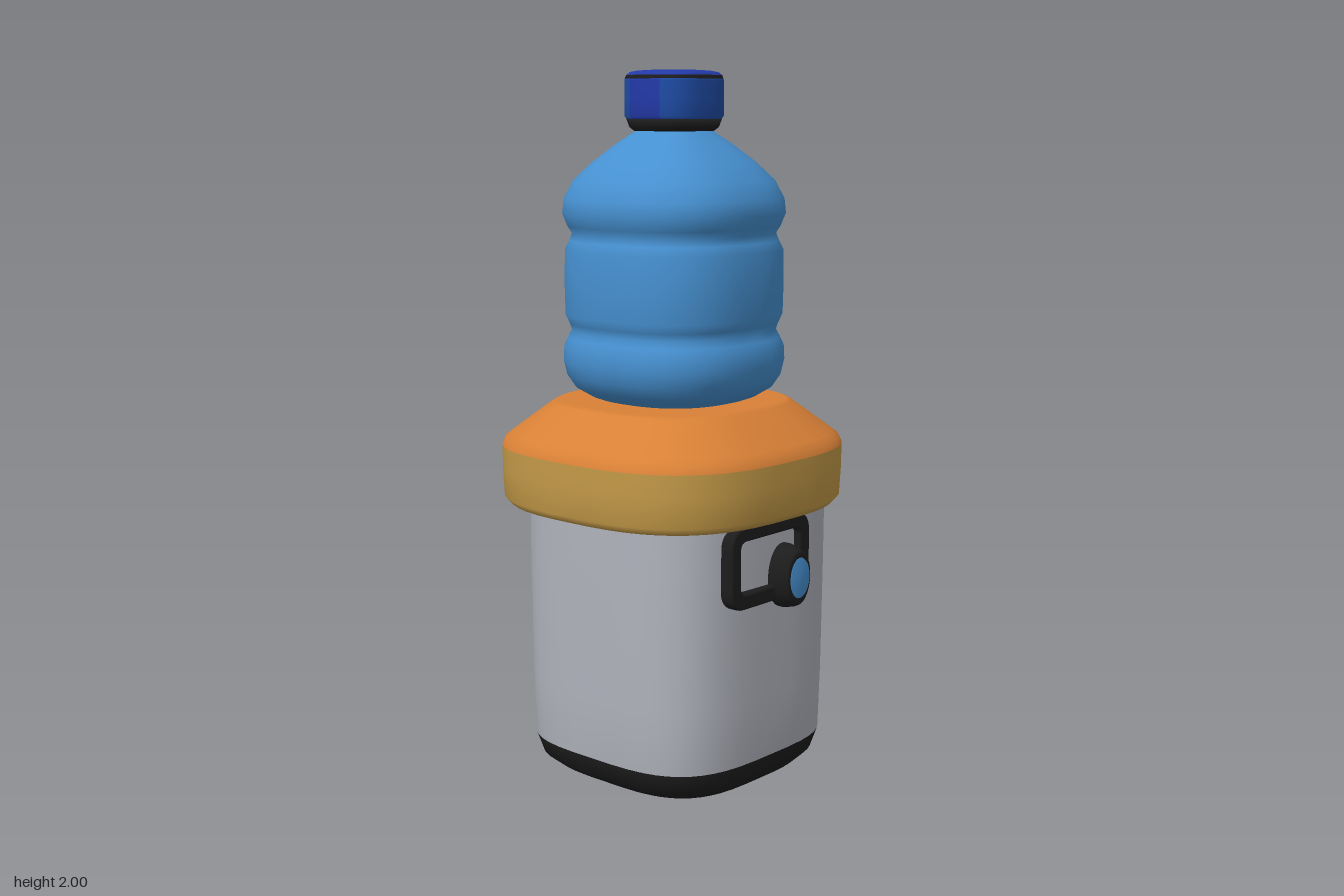
import * as THREE from 'three';

const mat = (name, color) => {
  const m = new THREE.MeshStandardMaterial({ color });
  m.name = name;
  return m;
};

// Loft of rounded-square rings, bottom to top. Row: [y, halfX, halfZ]; a repeated row makes a crease.
// pick(x, y, z) returns the material index for the face centred there.
function loft(name, rows, { n = 3, cx = 0, cz = 0, seg = 48, mats, pick = () => 0 }) {
  const pos = [], lists = mats.map(() => []);
  const pw = (v) => Math.sign(v) * Math.abs(v) ** (2 / n);
  for (const [y, hx, hz = hx] of rows) {
    for (let i = 0; i < seg; i++) {
      const a = ((i + 0.5) / seg) * Math.PI * 2;
      pos.push(cx + hx * pw(Math.cos(a)), y, cz + hz * pw(Math.sin(a)));
    }
  }
  for (let r = 0; r < rows.length - 1; r++) {
    for (let i = 0; i < seg; i++) {
      const a = r * seg + i, b = r * seg + ((i + 1) % seg), c = a + seg, d = b + seg;
      const mid = [0, 1, 2].map((k) => (pos[a * 3 + k] + pos[b * 3 + k] + pos[c * 3 + k] + pos[d * 3 + k]) / 4);
      lists[pick(...mid)].push(a, c, b, b, c, d);
    }
  }
  const g = new THREE.BufferGeometry();
  g.setAttribute('position', new THREE.Float32BufferAttribute(pos, 3));
  g.setIndex(lists.flat());
  let start = 0;
  lists.forEach((l, i) => {
    g.addGroup(start, l.length, i);
    start += l.length;
  });
  g.computeVertexNormals();
  const mesh = new THREE.Mesh(g, mats);
  mesh.name = name;
  return mesh;
}

// Rounded rectangle outline added to a Shape or Path
function roundRect(p, x0, y0, x1, y1, r) {
  p.moveTo(x0 + r, y0);
  p.lineTo(x1 - r, y0).quadraticCurveTo(x1, y0, x1, y0 + r);
  p.lineTo(x1, y1 - r).quadraticCurveTo(x1, y1, x1 - r, y1);
  p.lineTo(x0 + r, y1).quadraticCurveTo(x0, y1, x0, y1 - r);
  p.lineTo(x0, y0 + r).quadraticCurveTo(x0, y0, x0 + r, y0);
  return p;
}

export function createModel() {
  const grey = mat('grey', 0xb0b3bc);
  const black = mat('black', 0x1c1c1c);
  const gold = mat('gold', 0xc49a48);
  const orange = mat('orange', 0xd88036);
  const blue = mat('blue', 0x4690d0);
  const capSide = mat('capBlue', 0x1f4ca6);
  const indigo = mat('capIndigo', 0x2339a8);
  const model = new THREE.Group();
  model.name = 'waterDispenser';

  // Body: grey walls, black rounded base that stays low on the back
  model.add(loft('body', [
    [0, 0], [0.005, 0.17], [0.015, 0.25], [0.035, 0.305], [0.065, 0.335, 0.342], [0.12, 0.352, 0.36],
    [0.3, 0.357, 0.364], [0.6, 0.36, 0.367], [0.82, 0.362, 0.367],
  ], {
    n: 3.4, cx: 0.01, cz: -0.008, mats: [grey, black],
    pick: (x, y, z) => (y > 0.12 || (y > 0.04 && z < -0.29) ? 0 : 1),
  }));

  // Rim: gold band
  model.add(loft('rimBand', [
    [0.8, 0.33], [0.79, 0.36], [0.8, 0.415], [0.82, 0.432], [0.9, 0.436], [0.965, 0.436],
  ], { n: 2.8, cx: -0.003, mats: [gold] }));

  // Rim: sloping orange collar
  model.add(loft('collar', [
    [0.965, 0.436], [0.985, 0.428], [1.0, 0.41], [1.045, 0.355], [1.085, 0.305], [1.092, 0.29], [1.092, 0],
  ], { n: 2.8, cx: -0.003, mats: [orange] }));

  // Bottle with two grooves and tapering shoulder
  model.add(loft('bottle', [
    [1.085, 0.18], [1.1, 0.22], [1.125, 0.26], [1.16, 0.282], [1.2, 0.291], [1.24, 0.289], [1.265, 0.278],
    [1.285, 0.268], [1.305, 0.274], [1.33, 0.285], [1.42, 0.287], [1.51, 0.285], [1.535, 0.273],
    [1.555, 0.266], [1.575, 0.278], [1.61, 0.291], [1.65, 0.287], [1.7, 0.262], [1.75, 0.212],
    [1.8, 0.15], [1.835, 0.1], [1.85, 0.085],
  ], { n: 2.5, cx: -0.01, cz: -0.015, mats: [blue] }));

  // Neck ring under the cap
  model.add(loft('neckRing', [
    [1.832, 0.07], [1.835, 0.1], [1.845, 0.112], [1.868, 0.12], [1.868, 0.06],
  ], { n: 2.8, cx: -0.01, cz: -0.015, mats: [black] }));

  // Cap: blue side with an indigo front panel, dark seam, indigo top
  model.add(loft('cap', [
    [1.865, 0.115], [1.875, 0.121, 0.126], [1.92, 0.121, 0.126], [1.97, 0.121, 0.126],
    [1.976, 0.12, 0.125], [1.986, 0.117, 0.121], [1.994, 0.108, 0.112], [1.998, 0.09, 0.093], [2, 0.06], [2, 0],
  ], {
    n: 2.9, cx: -0.01, cz: -0.015, mats: [capSide, black, indigo],
    pick: (x, y, z) => {
      if (y > 1.986) return 2;
      if (y > 1.975) return 1;
      return z > 0.05 && Math.abs(x + 0.01) < 0.055 ? 2 : 0;
    },
  }));

  // Tap on the +x side: outline frame, knob and blue button
  const tap = new THREE.Group();
  tap.name = 'tap';
  const outline = roundRect(new THREE.Shape(), -0.2, 0.58, 0.125, 0.795, 0.05);
  outline.holes.push(roundRect(new THREE.Path(), -0.172, 0.612, 0.092, 0.767, 0.03));
  const frameGeo = new THREE.ExtrudeGeometry(outline, {
    depth: 0.045, bevelEnabled: true, bevelSize: 0.006, bevelThickness: 0.008, bevelSegments: 2, curveSegments: 8,
  });
  frameGeo.rotateY(Math.PI / 2).translate(0.338, 0, 0);
  const frame = new THREE.Mesh(frameGeo, black);
  frame.name = 'tapFrame';

  // Round profile turned to point along +x, squashed to an oval
  const oval = (name, pts, sy, sz, material) => {
    const g = new THREE.LatheGeometry(pts.map(([r, h]) => new THREE.Vector2(r, h)), 28);
    g.rotateZ(-Math.PI / 2).scale(1, sy, sz).translate(0, 0.635, -0.032);
    const m = new THREE.Mesh(g, material);
    m.name = name;
    return m;
  };
  const knob = oval('tapKnob', [[1, 0.35], [1, 0.39], [0.93, 0.415], [0.85, 0.43], [0.75, 0.433], [0, 0.433]], 0.09, 0.06, black);
  const button = oval('tapButton', [[1, 0.431], [0.95, 0.436], [0, 0.438]], 0.058, 0.042, blue);
  tap.add(frame, knob, button);
  model.add(tap);

  return model;
}
